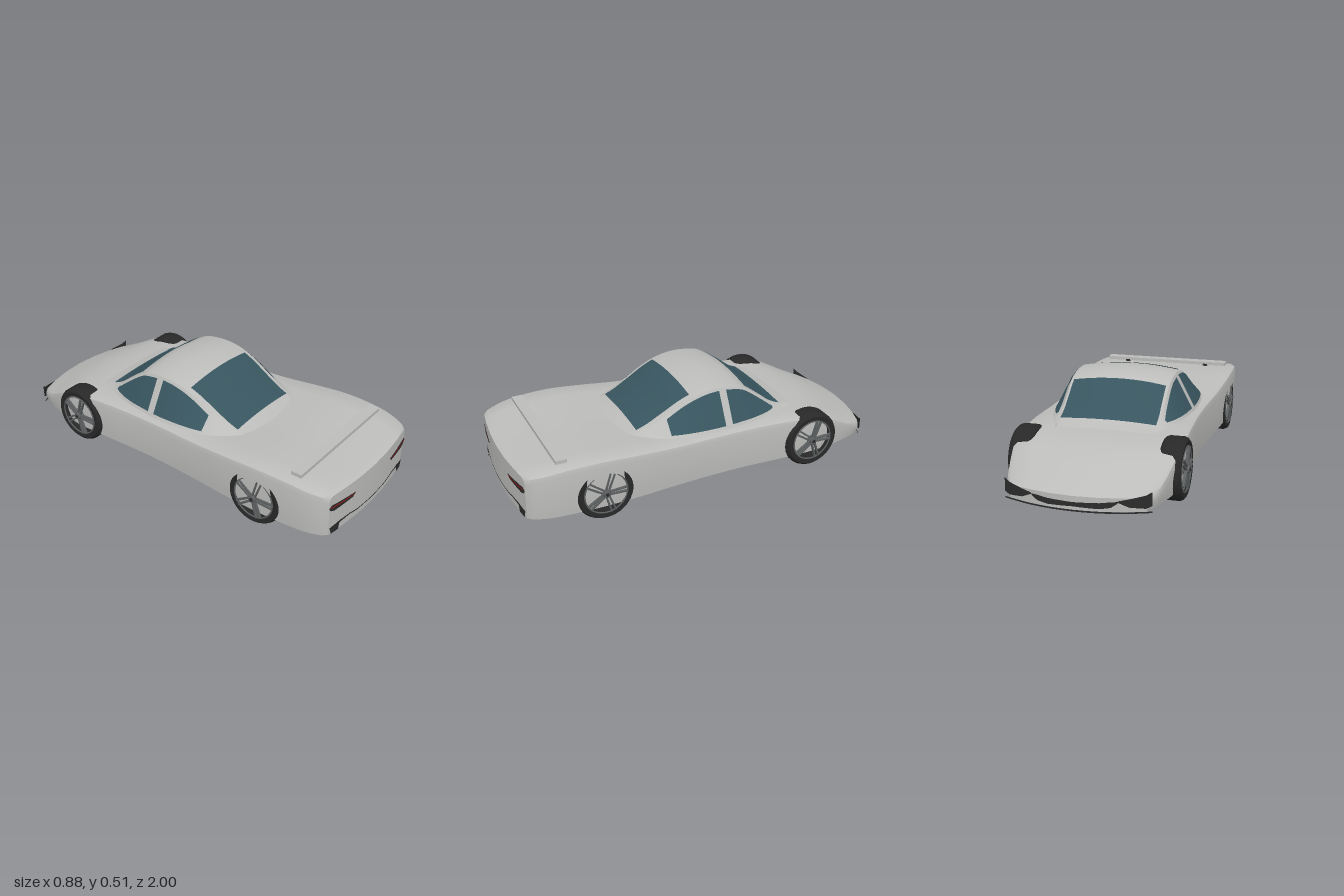
import * as THREE from 'three';
import { toCreasedNormals } from 'three/addons/utils/BufferGeometryUtils.js';

const material = (name, color, side = THREE.FrontSide) => {
  const m = new THREE.MeshStandardMaterial({ color, side });
  m.name = name;
  return m;
};
const V = (x, y, z) => new THREE.Vector3(x, y, z);
const range = (n, a, b) => Array.from({ length: n + 1 }, (_, i) => a + (b - a) * i / n);

// Smooth interpolation of table rows [z, ...values]
function sample(table, z) {
  let i = 0;
  while (i < table.length - 2 && z > table[i + 1][0]) i++;
  const p1 = table[i], p2 = table[i + 1];
  const p0 = table[i - 1] || p1, p3 = table[i + 2] || p2;
  const d = p2[0] - p1[0], t = (z - p1[0]) / d;
  return p1.slice(1).map((v, k) => {
    const a = v, b = p2[k + 1];
    const m1 = (b - p0[k + 1]) / (p2[0] - p0[0]) * d, m2 = (p3[k + 1] - a) / (p3[0] - p1[0]) * d;
    const t2 = t * t, t3 = t2 * t;
    return (2 * t3 - 3 * t2 + 1) * a + (t3 - 2 * t2 + t) * m1 + (3 * t2 - 2 * t3) * b + (t3 - t2) * m2;
  });
}

// Surface through rows of points
function sheet(rows, crease = 0.6) {
  const n = rows[0].length, index = [];
  for (let i = 0; i < rows.length - 1; i++) {
    for (let j = 0; j < n - 1; j++) {
      const a = i * n + j, b = a + 1, d = a + n, c = d + 1;
      index.push(a, b, c, a, c, d);
    }
  }
  const g = new THREE.BufferGeometry().setFromPoints(rows.flat());
  g.setIndex(index);
  return toCreasedNormals(g, crease);
}

// Body stations: z, half width, shoulder height, centre height
const BODY = [
  [-1, 0.33, 0.135, 0.135], [-0.97, 0.352, 0.15, 0.153], [-0.9, 0.374, 0.18, 0.188],
  [-0.8, 0.392, 0.225, 0.235], [-0.7, 0.404, 0.26, 0.268], [-0.58, 0.41, 0.284, 0.289],
  [-0.4, 0.405, 0.3, 0.302], [-0.2, 0.396, 0.302, 0.302], [0, 0.396, 0.302, 0.302],
  [0.2, 0.406, 0.306, 0.306], [0.4, 0.42, 0.322, 0.313], [0.6, 0.426, 0.336, 0.325],
  [0.8, 0.417, 0.33, 0.32], [0.9, 0.405, 0.318, 0.309], [0.97, 0.38, 0.306, 0.299], [0.99, 0.357, 0.296, 0.292],
];
const BOTTOM = 0.07;
const bend = (x, z) => {
  const front = THREE.MathUtils.smoothstep(-z, 0.55, 1), rear = THREE.MathUtils.smoothstep(z, 0.7, 0.99);
  return z + (0.6 * front - 0.25 * rear) * x * x;
};
const XS = [0, 0.35, 0.7, 0.94, 0.985, 1];
function bodyHalves(z) {
  const [w, e, t] = sample(BODY, z);
  const ys = [t, t + (e - t) * 0.25, t + (e - t) * 0.8, e - 0.001, e - 0.011, e - 0.035];
  const lower = XS.map(k => V(k * w * 0.965, BOTTOM, bend(k * w, z)));
  const upper = XS.map((k, i) => V(k * w, ys[i], bend(k * w, z)));
  return [lower, upper];
}
const mirrored = p => V(-p.x, p.y, p.z);
const across = half => [...half.slice(1).reverse().map(mirrored), ...half];

// Cabin stations: z, base half width, roof half width, roof height
const CABIN = [
  [-0.54, 0.25, 0.235, 0.3], [-0.45, 0.305, 0.25, 0.333], [-0.35, 0.333, 0.253, 0.41],
  [-0.25, 0.35, 0.255, 0.484], [-0.2, 0.355, 0.255, 0.502], [-0.1, 0.365, 0.255, 0.514],
  [0, 0.365, 0.255, 0.503], [0.1, 0.36, 0.252, 0.467], [0.2, 0.347, 0.247, 0.412],
  [0.3, 0.32, 0.24, 0.357], [0.36, 0.28, 0.225, 0.328], [0.415, 0.18, 0.17, 0.31],
];
const BASE = 0.285;
const drop = h => 0.024 * THREE.MathUtils.clamp((h - 0.29) / 0.08, 0, 1);
const roofY = (x, z) => {
  const [, c, h] = sample(CABIN, z);
  return h - drop(h) * (x / c) ** 2;
};
function cabinRing(z) {
  const [b, c] = sample(CABIN, z);
  const half = [V(b, BASE, z), ...[1, 0.93, 0.8, 0.5, 0.25, 0].map(k => V(k * c, roofY(k * c, z), z))];
  return [...half, ...half.slice(0, -1).reverse().map(mirrored)];
}
function roofGlass(z0, z1, half0, half1) {
  return sheet(range(14, 0, 1).map(t => {
    const z = z0 + (z1 - z0) * t, w = half0 + (half1 - half0) * t;
    return range(12, w, -w).map(x => V(x, roofY(x, z) + 0.005, z));
  }));
}
function sideGlass(z0, z1, s) {
  return sheet(range(14, z0, z1).map(z => {
    const [b, c] = sample(CABIN, z), top = roofY(c, z);
    return range(3, 0.317, Math.max(0.32, top - 0.013)).map(y =>
      V(s * (b + (c - b) * (y - BASE) / (top - BASE) + 0.004), y + 0.002, z));
  }));
}

// Thin trim following the curved bumpers; points are [x, low, high]
const rearZ = x => 0.993 - 0.25 * x * x;
const noseZ = x => -1.004 + 0.6 * x * x;
function trim(points, zOf, s, lift = 0) {
  const cols = [];
  points.forEach((p, i) => {
    const q = points[i + 1];
    const steps = q ? 4 : 1;
    for (let k = 0; k < steps; k++) cols.push(q ? p.map((v, n) => v + (q[n] - v) * k / steps) : p);
  });
  const row = n => cols.map(c => V(s * c[0], c[n], zOf(c[0]) + lift));
  return sheet([row(1), row(2)]);
}

export function createModel() {
  const car = new THREE.Group();
  car.name = 'car';
  const paint = material('silver paint', 0xbcbcba, THREE.DoubleSide);
  const glass = material('tinted glass', 0x38555f, THREE.DoubleSide);
  const black = material('black trim', 0x2b2b2b, THREE.DoubleSide);
  const rubber = material('tyre rubber', 0x282828);
  const metal = material('wheel metal', 0x5c5f60);
  const red = material('red lamp', 0xa81616, THREE.DoubleSide);
  const add = (name, geometry, mat, parent = car) => {
    const mesh = new THREE.Mesh(geometry, mat);
    mesh.name = name;
    parent.add(mesh);
    return mesh;
  };

  // Body shell and its two ends
  const stations = [...range(56, -1, 0.95), 0.97, 0.98, 0.99];
  add('body', sheet(stations.map(z => {
    const [lo, up] = bodyHalves(z);
    const half = [...lo, ...up.reverse()];
    return [...half, ...half.slice(0, -1).reverse().map(mirrored)];
  })), paint);
  add('rearPanel', sheet(bodyHalves(0.99).map(across)), paint);
  add('nosePanel', sheet(bodyHalves(-1).map(h => across(h).reverse())), paint);

  // Cabin and windows
  add('cabin', sheet(range(48, -0.54, 0.415).map(cabinRing), 0.5), paint);
  add('windscreen', roofGlass(-0.47, -0.26, 0.243, 0.24), glass);
  add('rearWindow', roofGlass(0.05, 0.335, 0.228, 0.215), glass);

  // Rear wing
  add('wing', new THREE.BoxGeometry(0.72, 0.018, 0.056), paint).position.set(0, 0.343, 0.775);

  for (const s of [1, -1]) {
    add('frontSideWindow', sideGlass(-0.41, -0.14, s), glass);
    add('rearSideWindow', sideGlass(-0.1, 0.19, s), glass);
    add('wingPost', new THREE.BoxGeometry(0.024, 0.03, 0.03), black).position.set(s * 0.24, 0.325, 0.757);

    // Tail lamps and rear bumper trim
    add('tailLampHousing', trim([[0.165, 0.227, 0.229], [0.182, 0.209, 0.23], [0.32, 0.205, 0.243],
      [0.342, 0.212, 0.246], [0.358, 0.225, 0.235]], rearZ, s), black);
    add('tailLamp', trim([[0.172, 0.223, 0.227], [0.27, 0.226, 0.233], [0.352, 0.232, 0.238]], rearZ, s, 0.003), red);
    add('rearBumperTrim', trim([[0, 0.1, 0.107], [0.08, 0.104, 0.109], [0.14, 0.104, 0.111], [0.2, 0.114, 0.121],
      [0.275, 0.109, 0.122], [0.282, 0.073, 0.121], [0.333, 0.073, 0.114], [0.345, 0.108, 0.113]], rearZ, s), black);

    // Nose lamps, grille and lip
    add('headlamp', trim([[0.2, 0.118, 0.124], [0.25, 0.095, 0.134], [0.32, 0.088, 0.15],
      [0.345, 0.1, 0.165]], noseZ, s, -0.003), black);
    add('grille', trim([[0, 0.088, 0.108], [0.12, 0.084, 0.112], [0.17, 0.092, 0.118], [0.2, 0.112, 0.12]], noseZ, s), black);
    add('frontLip', trim([[0, 0.064, 0.072], [0.2, 0.064, 0.072], [0.345, 0.066, 0.073]], noseZ, s), black);

    // Wheels: open tyre, rim ring, five twin spokes and hub
    for (const [name, z, r] of [['frontWheel', -0.58, 0.152], ['rearWheel', 0.58, 0.148]]) {
      const wheel = new THREE.Group();
      wheel.name = name;
      wheel.position.set(s * 0.365, r + 0.001, z);
      wheel.rotation.z = -s * Math.PI / 2;
      const profile = [[0.112, -0.05], [0.137, -0.055], [r - 0.005, -0.047], [r, -0.035], [r, 0.035],
        [r - 0.005, 0.047], [0.137, 0.056], [0.113, 0.053], [0.108, 0.04], [0.108, -0.04], [0.112, -0.05]];
      add('tyre', toCreasedNormals(new THREE.LatheGeometry(profile.map(p => new THREE.Vector2(...p)), 40), 0.6), rubber, wheel);
      const rim = add('rim', new THREE.TorusGeometry(0.11, 0.004, 6, 40), metal, wheel);
      rim.rotation.x = Math.PI / 2;
      rim.position.y = 0.053;
      const star = new THREE.Group();
      star.name = 'spokes';
      star.rotation.y = s > 0 ? Math.PI / 2 : Math.PI / 2 + Math.PI;
      wheel.add(star);
      for (let i = 0; i < 5; i++) {
        for (const k of [-1, 1]) {
          const spoke = add('spoke', new THREE.BoxGeometry(0.095, 0.014, 0.008).translate(0.062, 0.055, k * 0.007), metal, star);
          spoke.rotation.y = i * Math.PI * 0.4 + k * -0.04;
        }
      }
      add('hub', new THREE.CylinderGeometry(0.018, 0.024, 0.03, 20), metal, wheel).position.y = 0.055;
      add('hubCap', new THREE.CylinderGeometry(0.009, 0.009, 0.006, 16), black, wheel).position.y = 0.07;
      car.add(wheel);
    }
  }
  return car;
}
